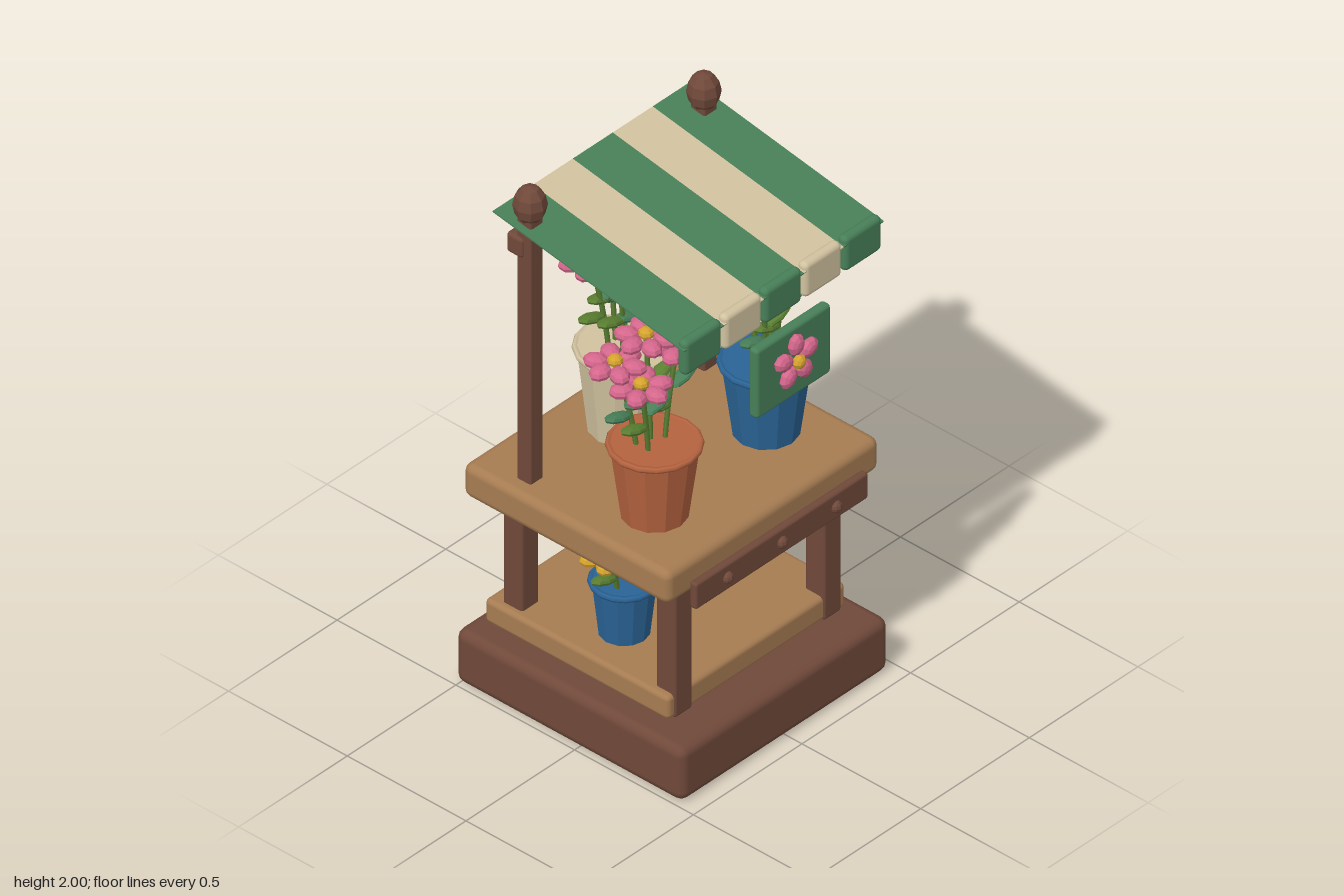
import * as THREE from 'three';
import { RoundedBoxGeometry } from 'three/addons/geometries/RoundedBoxGeometry.js';

const mat = (name, color) => {
  const m = new THREE.MeshStandardMaterial({ color });
  m.name = name;
  return m;
};
const M = {
  brown: mat('dark wood', 0x70493a), tan: mat('light wood', 0xa67c52),
  green: mat('canvas green', 0x488059), cream: mat('cream', 0xd2c3a0),
  terracotta: mat('terracotta', 0xb5633f), blue: mat('blue glaze', 0x2a6496),
  pink: mat('pink petal', 0xd4668c), yellow: mat('yellow petal', 0xd6a32e),
  purple: mat('purple petal', 0x8a4cc0), stem: mat('stem green', 0x5b8032),
};
const CX = -0.01; // centre line of the stall

// Faceted version of a geometry
const flat = (g) => {
  const f = g.index ? g.toNonIndexed() : g;
  f.computeVertexNormals();
  return f;
};
const ballGeo = flat(new THREE.SphereGeometry(1, 8, 6));

function add(parent, name, geo, material, x = 0, y = 0, z = 0) {
  const m = new THREE.Mesh(geo, material);
  m.name = name;
  m.position.set(x, y, z);
  parent.add(m);
  return m;
}
// Rounded box given by its limits on each axis
function block(parent, name, material, [x0, x1], [y0, y1], [z0, z1], r) {
  const geo = new RoundedBoxGeometry(x1 - x0, y1 - y0, z1 - z0, 2, r);
  return add(parent, name, geo, material, (x0 + x1) / 2, (y0 + y1) / 2, (z0 + z1) / 2);
}
function ball(parent, name, material, x, y, z, sx, sy, sz) {
  const m = add(parent, name, ballGeo, material, x, y, z);
  m.scale.set(sx, sy, sz);
  return m;
}

// Daisy lying flat, facing +y
function bloom(parent, name, material, count, r) {
  const g = new THREE.Group();
  g.name = name;
  for (let i = 0; i < count; i++) {
    const a = Math.PI / 2 + (i / count) * Math.PI * 2;
    const p = ball(g, 'petal', material, Math.cos(a) * r * 0.6, 0, -Math.sin(a) * r * 0.6, r * 0.4, r * 0.24, r * 0.32);
    p.rotation.y = a;
  }
  ball(g, 'flowerCentre', M.yellow, 0, r * 0.14, 0, r * 0.25, r * 0.2, r * 0.25);
  parent.add(g);
  return g;
}

// Pot with rim, stems, leaves and blooms; flowers are [x, y, z, material]
function pottedPlant(parent, name, material, [px, py, pz], h, rTop, rBottom, flowers, s) {
  const g = new THREE.Group();
  g.name = name;
  parent.add(g);
  add(g, 'pot', flat(new THREE.CylinderGeometry(rTop, rBottom, h, 12)), material, px, py + h / 2, pz);
  const rim = add(g, 'potRim', new THREE.TorusGeometry(rTop, 0.011, 6, 16), material, px, py + h - 0.008, pz);
  rim.rotation.x = Math.PI / 2;
  flowers.forEach(([x, y, z, petal], i) => {
    const dx = x - px, dz = z - pz, y0 = py + h - 0.02;
    const curve = new THREE.QuadraticBezierCurve3(
      new THREE.Vector3(px + dx * 0.45, y0, pz + dz * 0.45),
      new THREE.Vector3(px + dx * 0.6, (y0 + y) / 2, pz + dz * 0.6),
      new THREE.Vector3(x, y, z));
    add(g, 'stem', new THREE.TubeGeometry(curve, 6, 0.009, 5), M.stem);
    [-1, 1].forEach((side, k) => {
      const p = curve.getPoint(0.42 + 0.16 * k);
      const leaf = ball(g, 'leaf', (i + k) % 2 ? M.green : M.stem,
        p.x + side * 0.055 * s, p.y + 0.012, p.z, 0.062 * s, 0.016, 0.027 * s);
      leaf.rotation.z = side * 0.28;
    });
    const b = bloom(g, 'flower', petal, 6, 0.105 * s);
    b.position.set(x, y, z);
    b.rotation.y = i * 0.5;
  });
}

export function createModel() {
  const root = new THREE.Group();
  root.name = 'flowerStall';

  // Base, shelf, counter and legs
  block(root, 'base', M.brown, [-0.49, 0.47], [0, 0.205], [-0.518, 0.442], 0.035);
  block(root, 'lowerShelf', M.tan, [-0.42, 0.4], [0.225, 0.315], [-0.455, 0.32], 0.018);
  block(root, 'counter', M.tan, [-0.5, 0.48], [0.745, 0.872], [-0.476, 0.392], 0.03);
  for (const x of [-0.353, 0.333]) for (const z of [-0.36, 0.285])
    block(root, 'leg', M.brown, [x - 0.04, x + 0.04], [0.225, 0.79], [z - 0.041, z + 0.041], 0.01);

  // Front apron with pegs
  block(root, 'apron', M.brown, [-0.405, 0.39], [0.7, 0.8], [0.395, 0.425], 0.01);
  for (const x of [-0.26, CX, 0.24]) ball(root, 'peg', M.brown, x, 0.75, 0.425, 0.022, 0.022, 0.02);

  // Posts, finials and back rail
  for (const x of [-0.41, 0.39]) {
    block(root, 'post', M.brown, [x - 0.03, x + 0.03], [0.85, 1.89], [-0.3, -0.24], 0.008);
    ball(root, 'finial', M.brown, x, 1.93, -0.27, 0.056, 0.07, 0.056);
  }
  block(root, 'backRail', M.brown, [-0.45, 0.43], [1.735, 1.812], [-0.337, -0.268], 0.014);

  // Striped awning and its scalloped front edge
  const drop = 0.14, run = 0.805, w = 0.184;
  for (let i = 0; i < 5; i++) {
    const m = i % 2 ? M.cream : M.green, x = CX + 0.003 + (i - 2) * w;
    const stripe = add(root, 'awningStripe', new THREE.BoxGeometry(w, 0.005, Math.hypot(drop, run)), m, x, 1.81, 0.0275);
    stripe.rotation.x = Math.atan2(drop, run);
    block(root, 'valance', m, [x - 0.086, x + 0.086], [1.635, 1.768], [0.392, 0.433], 0.019);
  }

  // Hanging sign with a flower
  block(root, 'sign', M.green, [-0.18, 0.163], [1.338, 1.605], [0.437, 0.476], 0.014);
  const emblem = bloom(root, 'signFlower', M.pink, 5, 0.1);
  emblem.position.set(CX, 1.485, 0.484);
  emblem.rotation.x = Math.PI / 2;

  // Plants on the counter
  const { pink, yellow, cream, purple } = M;
  pottedPlant(root, 'terracottaPlant', M.terracotta, [-0.285, 0.87, 0.14], 0.28, 0.145, 0.108, [
    [-0.385, 1.43, 0.175, pink], [-0.28, 1.53, 0.1, pink],
    [-0.2, 1.485, 0.16, pink], [-0.39, 1.47, 0.07, pink]], 1);
  pottedPlant(root, 'bluePlant', M.blue, [0.267, 0.87, 0.105], 0.28, 0.145, 0.108, [
    [0.26, 1.555, 0.02, yellow], [0.388, 1.5, 0.035, yellow],
    [0.31, 1.505, 0.15, cream], [0.2, 1.46, 0.16, yellow]], 1);
  pottedPlant(root, 'creamPlant', M.cream, [CX, 0.87, -0.237], 0.315, 0.155, 0.12, [
    [-0.01, 1.615, -0.32, purple], [0.09, 1.55, -0.325, purple],
    [-0.11, 1.535, -0.29, pink], [0.04, 1.51, -0.18, purple], [-0.09, 1.56, -0.18, pink]], 1);

  // Plants on the lower shelf
  pottedPlant(root, 'smallBluePlant', M.blue, [-0.25, 0.31, -0.02], 0.21, 0.105, 0.082, [
    [-0.36, 0.685, 0.02, yellow], [-0.17, 0.69, -0.03, yellow], [-0.27, 0.71, -0.12, yellow]], 0.95);
  pottedPlant(root, 'smallTerracottaPlant', M.terracotta, [0.24, 0.31, -0.04], 0.21, 0.105, 0.082, [
    [0.15, 0.685, 0.0, cream], [0.37, 0.705, -0.06, cream], [0.25, 0.7, -0.13, cream]], 0.95);

  return root;
}
